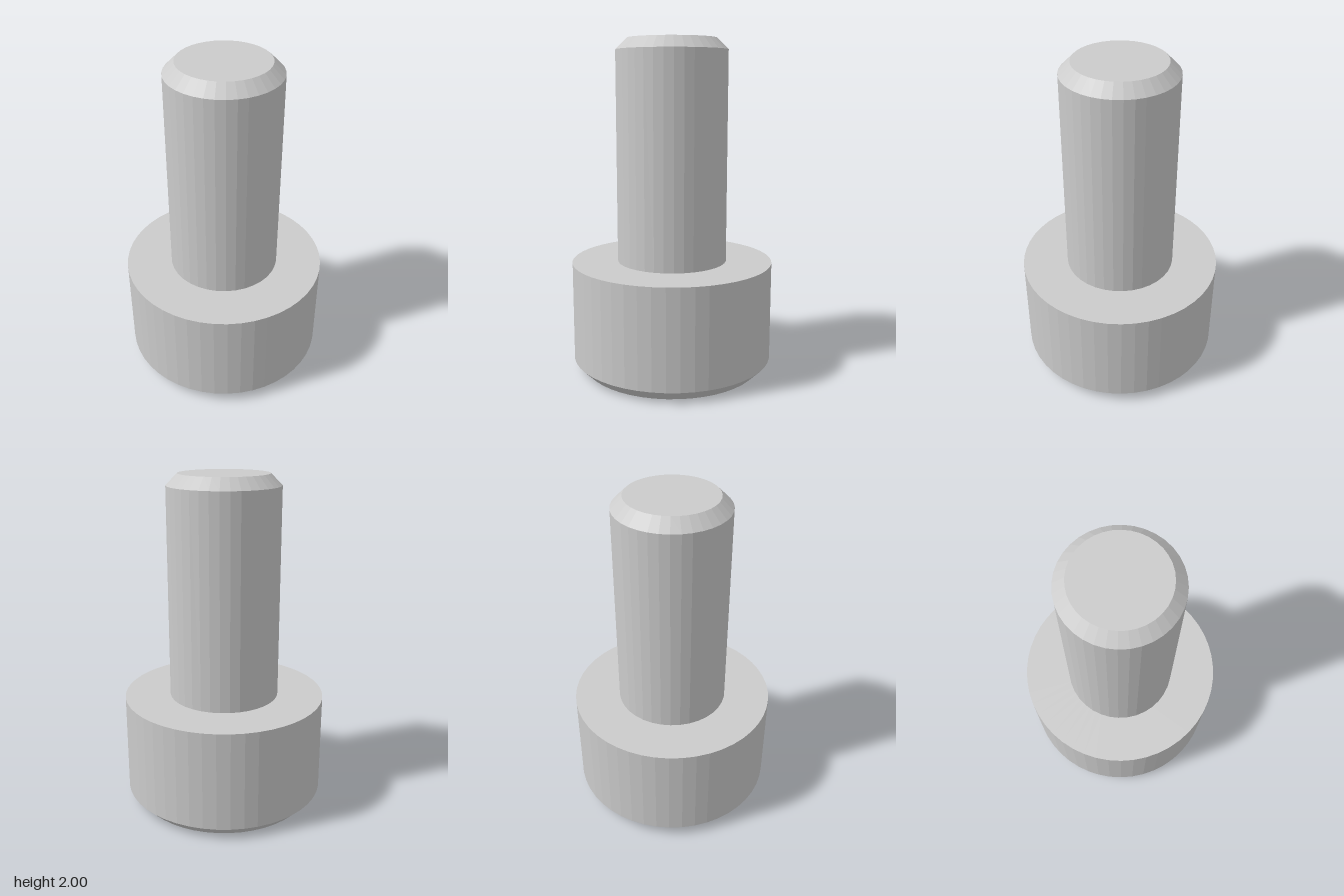
import * as THREE from 'three';

const HEAD_R = 0.61, HEAD_H = 0.667, SHAFT_R = 0.333, CHAMFER = 0.067;
const SOCKET_R = 0.32, SOCKET_DEPTH = 0.29;

export function createModel() {
  const model = new THREE.Group();
  model.name = 'socketHeadScrew';
  const material = new THREE.MeshStandardMaterial({ color: 0xcccccc, flatShading: true });

  const add = (name, geometry) => {
    const mesh = new THREE.Mesh(geometry, material);
    mesh.name = name;
    model.add(mesh);
  };
  const lathe = (profile, sides) =>
    new THREE.LatheGeometry(profile.map(([r, y]) => new THREE.Vector2(r, y)), sides);
  const ring = (r, sides) => Array.from({ length: sides }, (_, i) => {
    const a = (i / sides) * Math.PI * 2;
    return new THREE.Vector2(Math.sin(a) * r, Math.cos(a) * r);
  });

  // Head: chamfered lower rim, wall and flat shoulder
  add('head', lathe([
    [HEAD_R - CHAMFER, 0], [HEAD_R, CHAMFER], [HEAD_R, HEAD_H], [SHAFT_R - 0.02, HEAD_H],
  ], 48));

  // Flat face of the head with the hexagonal opening
  const face = new THREE.Shape(ring(HEAD_R - CHAMFER, 48));
  face.holes.push(new THREE.Path(ring(SOCKET_R, 6)));
  add('headFace', new THREE.ShapeGeometry(face).rotateX(Math.PI / 2));

  // Hex socket: inward-facing walls and a shallow pointed floor
  add('hexSocket', lathe([
    [0, SOCKET_DEPTH + 0.15], [SOCKET_R, SOCKET_DEPTH], [SOCKET_R, 0],
  ], 6));

  // Shaft with chamfered tip
  add('shaft', lathe([
    [SHAFT_R, HEAD_H], [SHAFT_R, 2 - CHAMFER], [SHAFT_R - CHAMFER, 2], [0, 2],
  ], 36));

  return model;
}
